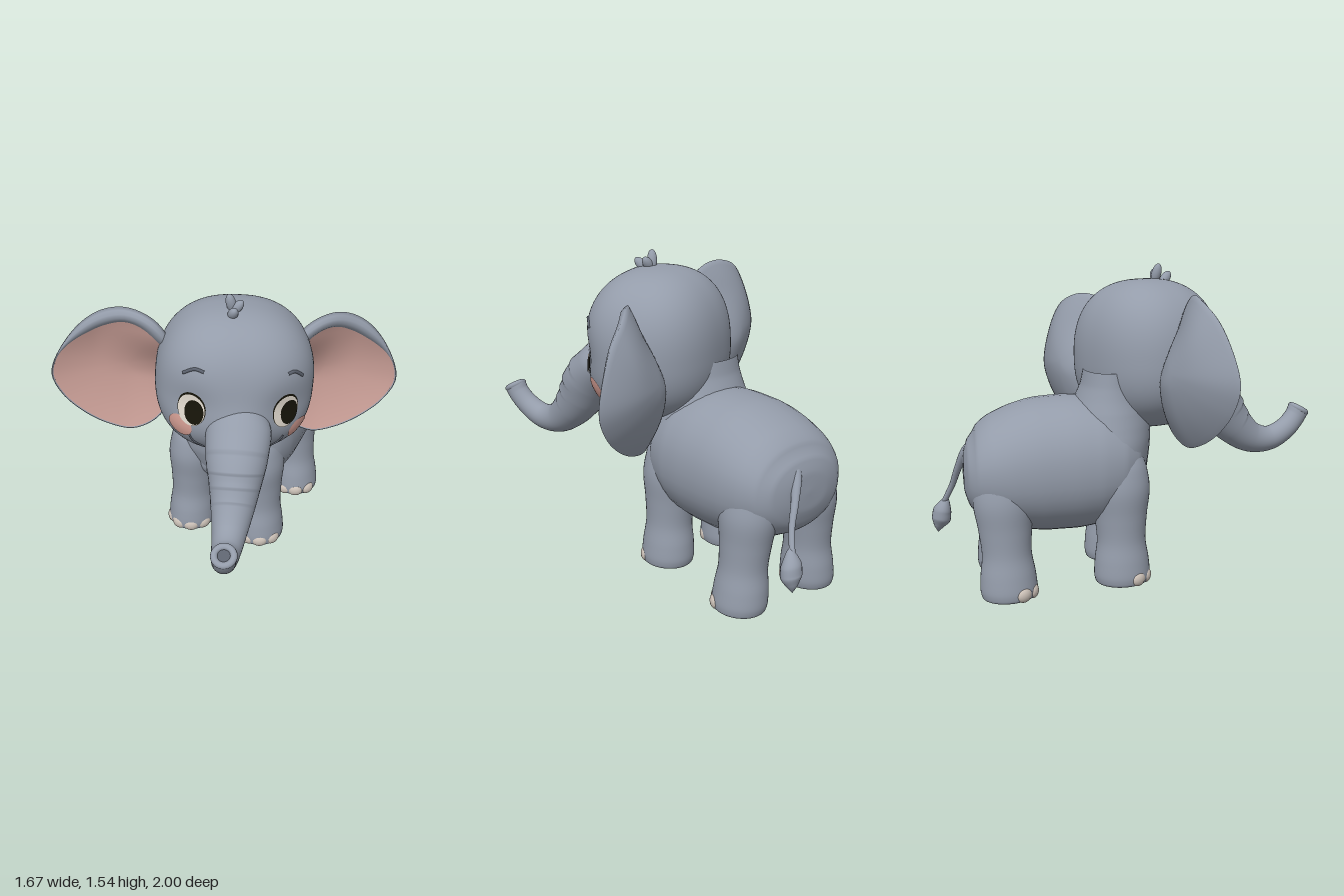
import * as THREE from 'three';
import { mergeVertices } from 'three/addons/utils/BufferGeometryUtils.js';

const V = (x, y, z) => new THREE.Vector3(x, y, z);
const paint = (name, color) => {
  const m = new THREE.MeshStandardMaterial({ color });
  m.name = name;
  return m;
};

// Smooth closed-loop surface through rows of points
function surface(rows) {
  const n = rows[0].length, index = [];
  for (let i = 0; i < rows.length - 1; i++) for (let j = 0; j < n; j++) {
    const k = (j + 1) % n, a = i * n + j, b = i * n + k, c = b + n, d = a + n;
    index.push(a, b, c, a, c, d);
  }
  const g = new THREE.BufferGeometry().setFromPoints(rows.flat());
  g.setIndex(index);
  const m = mergeVertices(g, 1e-5);
  m.computeVertexNormals();
  return m;
}

// Loft through stations [x, y, z, radiusX, radiusOther]
function loft(stations, { rings = 48, seg = 40, power = 2, ridge = () => 1 } = {}) {
  const path = new THREE.CatmullRomCurve3(stations.map(s => V(s[0], s[1], s[2])));
  const size = new THREE.CatmullRomCurve3(stations.map(s => V(s[3], s[4], 0)));
  const side = V(1, 0, 0), rows = [];
  const round = v => Math.sign(v) * Math.abs(v) ** (2 / power);
  for (let i = 0; i <= rings; i++) {
    const t = i / rings, c = path.getPoint(t), r = size.getPoint(t);
    const up = path.getTangent(t).cross(side).normalize();
    rows.push(Array.from({ length: seg }, (_, j) => {
      const a = j / seg * Math.PI * 2, f = ridge(t, a);
      return c.clone().addScaledVector(side, Math.max(0, r.x) * round(Math.cos(a)) * f)
        .addScaledVector(up, Math.max(0, r.y) * round(Math.sin(a)) * f);
    }));
  }
  return surface(rows);
}

// Head is a rounded-box ellipsoid with eye sockets and a nose bridge; these give its surface point and normal
const P = 2.4;
const radii = d => [0.378, d.y > 0 ? 0.39 : 0.335, d.z > 0 ? 0.335 : 0.32];
function headPoint(d) {
  const [a, b, c] = radii(d);
  const s = Math.abs(d.x / a) ** P + Math.abs(d.y / b) ** P + Math.abs(d.z / c) ** P;
  const p = d.clone().multiplyScalar(s ** (-1 / P));
  const socket = Math.exp(-((Math.abs(p.x) - 0.23) ** 2 + p.y ** 2) / 0.013);
  const bridge = Math.exp(-(p.x ** 2 / 0.015 + (p.y + 0.11) ** 2 / 0.012));
  return p.multiplyScalar(1 + (0.12 * bridge - 0.07 * socket) * THREE.MathUtils.clamp(p.z / 0.2, 0, 1));
}
function headNormal(p) {
  const r = radii(p);
  const f = (v, k) => Math.sign(v) * Math.abs(v / k) ** (P - 1) / k;
  return V(f(p.x, r[0]), f(p.y, r[1]), f(p.z, r[2])).normalize();
}

// Thin oval laid on the head surface
function patch(dir, ru, rv, lift, du = 0, dv = 0) {
  const p0 = headPoint(dir), n = headNormal(p0);
  const u = V(0, 1, 0).cross(n).normalize(), v = n.clone().cross(u);
  const g = new THREE.RingGeometry(0, 1, 40, 6), pos = g.attributes.position;
  for (let i = 0; i < pos.count; i++) {
    const q = p0.clone().addScaledVector(u, du + pos.getX(i) * ru).addScaledVector(v, dv + pos.getY(i) * rv);
    const h = headPoint(q).addScaledVector(n, lift);
    pos.setXYZ(i, h.x, h.y, h.z);
  }
  g.computeVertexNormals();
  return g;
}

// Ear: rounded back with rolled rim, and a dished inner face
function earParts(s) {
  const outline = [[0.3, 0.2], [0.27, 0], [0.28, -0.22], [0.34, -0.32], [0.45, -0.375], [0.57, -0.35], [0.69, -0.285],
    [0.80, -0.18], [0.85, -0.06], [0.78, 0.12], [0.66, 0.255], [0.5, 0.318], [0.38, 0.29]];
  const curve = new THREE.CatmullRomCurve3(outline.map(([x, y]) => V(x, y, 0)), true);
  const edge = curve.getSpacedPoints(72).slice(0, 72), mid = V(0.49, -0.03, 0);
  const { smoothstep } = THREE.MathUtils;
  const plane = p => -0.015 - 0.1 * (1 - (1 - smoothstep(p.x, 0.3, 0.65)) * smoothstep(p.y, -0.1, 0.2));
  const width = p => 0.009 + 0.07 * smoothstep(p.y, 0.02, 0.3);
  const inset = (p, k) => p.clone().addScaledVector(mid.clone().sub(p).normalize(), width(p) * k);
  const row = f => {
    const r = edge.map(p => { const q = f(p); q.x *= s; return q; });
    return s < 0 ? r.reverse() : r;
  };
  const dish = (start, depth) => t => row(p => {
    const q = mid.clone().lerp(start(p), t);
    q.z = plane(q) - depth * (1 - t * t);
    return q;
  });
  const back = dish(p => p, 0.115), front = dish(p => inset(p, 1), 0.05);
  const steps = Array.from({ length: 15 }, (_, i) => i / 14);
  const rim = k => row(p => {
    const q = inset(p, k);
    q.z = plane(q) + 0.4 * width(p) * Math.sin(Math.PI * k);
    return q;
  });
  return [surface([...steps.map(back), ...[0.15, 0.35, 0.6, 0.85, 1].map(rim)]),
    surface(steps.slice().reverse().map(front))];
}

export function createModel() {
  const grey = paint('grey skin', 0x949caa), pink = paint('inner ear pink', 0xcba098);
  const blush = paint('cheek blush', 0xdca499), cream = paint('nail cream', 0xd0c5bb);
  const white = paint('eye white', 0xe8e0d4), dark = paint('pupil black', 0x17150a);
  const shade = paint('crease grey', 0x5c626e);
  const model = new THREE.Group();
  model.name = 'elephant';
  const add = (parent, name, geo, mat) => {
    const m = new THREE.Mesh(geo, mat);
    m.name = name;
    parent.add(m);
    return m;
  };
  const group = (name, x, y, z) => {
    const g = new THREE.Group();
    g.name = name;
    g.position.set(x, y, z);
    model.add(g);
    return g;
  };

  // Body and neck
  const body = group('body', 0.06, 0, -0.45);
  body.rotation.y = -0.24;
  add(body, 'torso', loft([
    [-0.455, 0.57, 0, 0], [-0.45, 0.57, 0.12, 0.085], [-0.43, 0.57, 0.21, 0.15], [-0.385, 0.57, 0.272, 0.21],
    [-0.31, 0.575, 0.31, 0.26], [-0.21, 0.583, 0.33, 0.297], [-0.08, 0.594, 0.338, 0.322], [0.06, 0.6, 0.338, 0.325],
    [0.19, 0.6, 0.328, 0.31], [0.3, 0.595, 0.295, 0.262], [0.37, 0.59, 0.235, 0.205], [0.415, 0.585, 0.14, 0.13],
    [0.43, 0.58, 0, 0],
  ].map(([z, y, a, b]) => [0, y, z, a, b]), { power: 2.15, rings: 72 }), grey);
  add(body, 'neck', loft([[0.35, 0, 0], [0.38, 0.13, 0.08], [0.46, 0.22, 0.14], [0.58, 0.275, 0.185], [0.7, 0.275, 0.2],
    [0.79, 0.255, 0.2], [0.86, 0.235, 0.185], [0.92, 0.215, 0.16], [0.98, 0.2, 0.135], [1.05, 0.19, 0.12],
  ].map(([y, a, b]) => [0, y, 0.255, a, b]), { rings: 60 }), grey);

  // Legs with toenails
  const ball = new THREE.SphereGeometry(1, 20, 14);
  for (const [end, x, z, base, lean] of [['front', 0.195, 0.29, 0.035, -0.015], ['hind', 0.225, -0.255, 0, -0.035]])
    for (const s of [1, -1]) {
      const name = end + (s > 0 ? 'Left' : 'Right');
      const profile = [[0, 0, 0], [0.001, 0.1, 0.11], [0.012, 0.118, 0.128], [0.05, 0.124, 0.135], [0.12, 0.12, 0.13],
        [0.22, 0.11, 0.117], [0.34, 0.117, 0.127], [0.46, 0.128, 0.143], [0.57, 0.112, 0.13], [0.66, 0.07, 0.085], [0.7, 0, 0]];
      add(body, name + 'Leg', loft(profile.map(([y, a, b]) =>
        [s * (x + lean * y / 0.5), base + y, z + lean * y, a, b])), grey);
      for (const a of [-1.0, -0.33, 0.33, 1.0]) {
        const n = add(body, name + 'Toenail', ball, cream);
        n.position.set(s * x + 0.105 * Math.sin(a), base + 0.038, z + 0.114 * Math.cos(a));
        n.rotation.y = a;
        n.scale.set(0.041, 0.037, 0.027);
      }
    }

  // Tail and its tuft
  add(model, 'tail', loft([[0.19, 0.7, -0.8, 0.035, 0.035], [0.22, 0.66, -0.85, 0.028, 0.028], [0.28, 0.56, -0.885, 0.019, 0.019],
    [0.335, 0.46, -0.905, 0.015, 0.015], [0.385, 0.36, -0.94, 0.014, 0.014]], { seg: 16 }), grey);
  add(model, 'tailTuft', loft([[0.375, 0.395, -0.925, 0, 0], [0.385, 0.37, -0.93, 0.022, 0.02], [0.4, 0.315, -0.945, 0.053, 0.045],
    [0.405, 0.275, -0.95, 0.054, 0.047], [0.413, 0.235, -0.96, 0.03, 0.027], [0.418, 0.2, -0.965, 0, 0]], { seg: 20 }), grey);

  // Head
  const head = group('head', 0.052, 1.08, 0.02);
  head.rotation.set(0, 0.19, -0.062, 'YXZ');
  let skull = new THREE.SphereGeometry(1, 96, 72);
  skull.deleteAttribute('uv');
  skull.deleteAttribute('normal');
  skull = mergeVertices(skull, 1e-5);
  const sp = skull.attributes.position;
  for (let i = 0; i < sp.count; i++) {
    const h = headPoint(V(sp.getX(i), sp.getY(i), sp.getZ(i)));
    sp.setXYZ(i, h.x, h.y, h.z);
  }
  skull.computeVertexNormals();
  add(head, 'skull', skull, grey);

  // Ears and face, mirrored
  const strip = (pts, r) => new THREE.TubeGeometry(
    new THREE.CatmullRomCurve3(pts.map(p => headPoint(V(...p)))), 20, r, 8);
  for (const s of [1, -1]) {
    const side = s > 0 ? 'left' : 'right', [shell, inner] = earParts(s);
    const ear = new THREE.Group();
    ear.name = side + 'Ear';
    ear.position.x = -0.025;
    head.add(ear);
    add(ear, side + 'EarShell', shell, grey);
    add(ear, side + 'InnerEar', inner, pink);
    const eye = V(s * 0.225, -0.022, 0.28);
    add(head, side + 'EyeLine', patch(eye, 0.074, 0.085, 0.004, 0, 0.005), dark);
    add(head, side + 'EyeWhite', patch(eye, 0.07, 0.08, 0.007), white);
    add(head, side + 'Pupil', patch(eye, 0.049, 0.062, 0.01, 0.017, -0.006), dark);
    add(head, side + 'Blush', patch(V(s * 0.305 + 0.015, -0.15 - 0.012 * s, 0.24 - 0.02 * s), 0.068, 0.06, 0.004), blush);
    const brow = [[0.185, 0.172, 0.27], [0.23, 0.182, 0.26], [0.28, 0.15, 0.235]];
    add(head, side + 'Brow', strip(brow.map(([x, y, z]) => [s * x + 0.025, y, z]), 0.008), shade);
    add(head, side + 'Smile', strip([[s * 0.225, -0.165, 0.26], [s * 0.205, -0.215, 0.255], [s * 0.15, -0.25, 0.25]], 0.006), shade);
  }

  // Hair tuft
  for (const [x, y, z, h, rx, rz] of [[-0.045, 0.41, 0.05, 0.052, 0.15, 0.3], [-0.02, 0.395, 0.06, 0.045, 0.2, -0.6],
    [-0.04, 0.385, 0.105, 0.045, 0.75, -0.1]]) {
    const lock = add(head, 'hairLock', ball, grey);
    lock.position.set(x, y, z);
    lock.rotation.set(rx, 0, rz);
    lock.scale.set(0.024, h, 0.024);
  }

  // Trunk with wrinkles along its upper side
  const wrinkle = (t, a) => {
    if (t < 0.2 || t > 0.5) return 1;
    return 1 + 0.06 * Math.max(0, Math.sin(a)) * (((t - 0.2) / 0.075) % 1) ** 2;
  };
  add(model, 'trunk', loft([[0.1, 1.12, 0.21, 0.07, 0.07], [0.105, 1.04, 0.262, 0.122, 0.104], [0.107, 0.96, 0.332, 0.153, 0.12],
    [0.108, 0.86, 0.42, 0.142, 0.13], [0.108, 0.775, 0.475, 0.122, 0.122], [0.105, 0.69, 0.545, 0.102, 0.104],
    [0.1, 0.615, 0.645, 0.08, 0.082], [0.098, 0.597, 0.755, 0.066, 0.065], [0.102, 0.64, 0.86, 0.057, 0.058],
    [0.11, 0.7, 0.925, 0.054, 0.056], [0.112, 0.738, 0.948, 0.055, 0.058]], { rings: 150, seg: 36, ridge: wrinkle }), grey);
  const tip = group('trunkTip', 0.112, 0.738, 0.948);
  tip.quaternion.setFromUnitVectors(V(0, 0, 1), V(0, 0.86, 0.51).normalize());
  add(tip, 'trunkRim', new THREE.TorusGeometry(0.043, 0.016, 12, 32), grey);
  add(tip, 'trunkOpening', new THREE.CircleGeometry(0.043, 28), shade).position.z = 0.003;
  return model;
}
